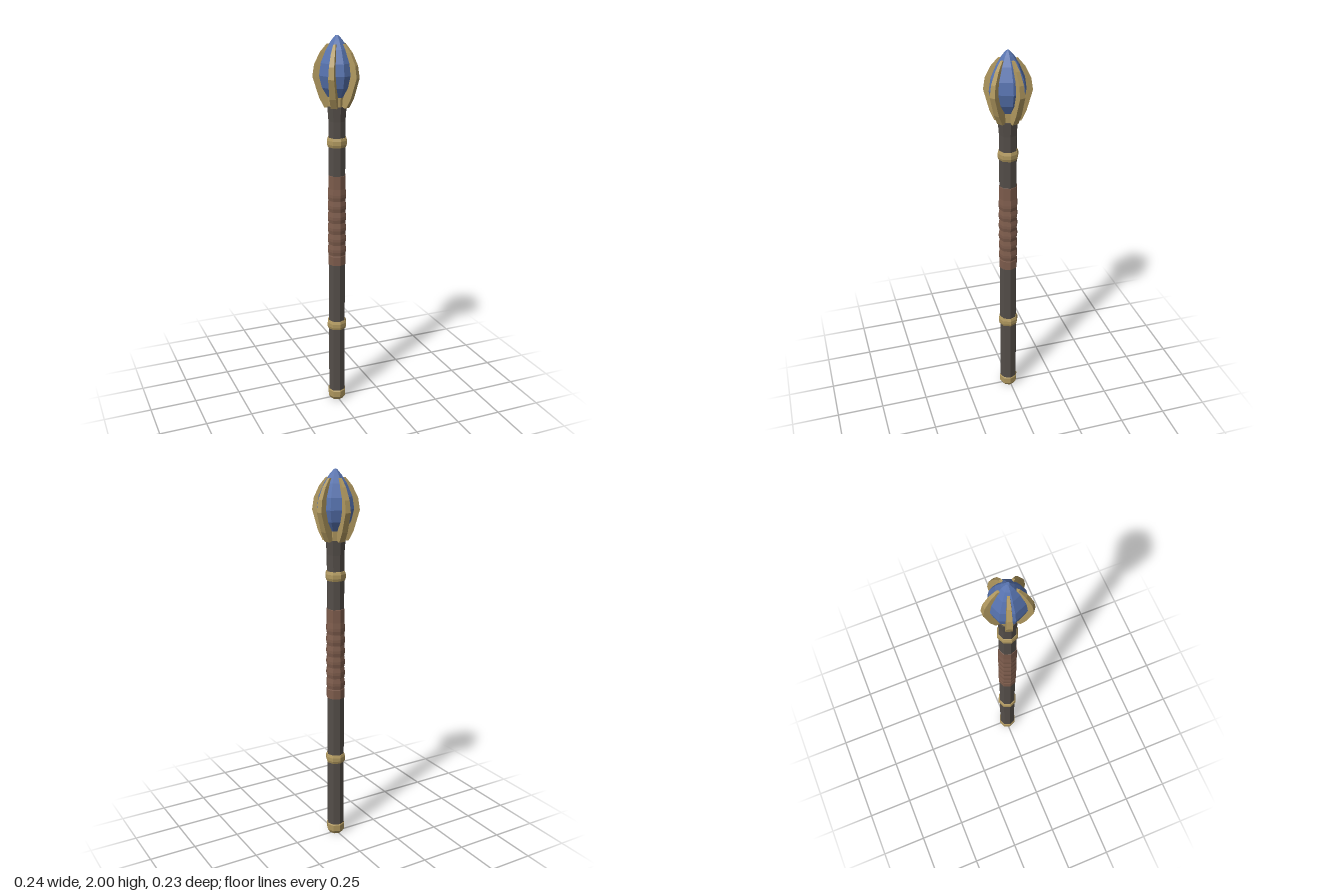
import * as THREE from 'three';

const mat = (name, color) => {
  const m = new THREE.MeshStandardMaterial({ color, flatShading: true });
  m.name = name;
  return m;
};

export function createModel() {
  const group = new THREE.Group();
  group.name = 'sceptre';
  const wood = mat('dark wood', 0x544e49);
  const leather = mat('brown leather', 0x7d5c4c);
  const gold = mat('dull gold', 0xb0985f);
  const blue = mat('blue crystal', 0x5672ae);

  const add = (name, geometry, material) => {
    const mesh = new THREE.Mesh(geometry, material);
    mesh.name = name;
    mesh.position.z = 0.007; // the prongs reach unevenly, so the axis sits slightly forward
    group.add(mesh);
    return mesh;
  };
  // eight-sided turned part, profile of [radius, y] from bottom to top
  const turned = (name, profile, material) =>
    add(name, new THREE.LatheGeometry(profile.map(([r, y]) => new THREE.Vector2(r, y)), 8), material);

  // shaft, flared under the head
  turned('shaft', [[0, 0.02], [0.046, 0.02], [0.046, 1.58], [0.052, 1.655], [0, 1.655]], wood);

  // leather grip with uneven wraps
  const grip = [[0.045, 0.81], [0.049, 0.812], [0.049, 0.86]];
  for (let i = 0; i < 6; i++) {
    const y = 0.86 + i * 0.06;
    grip.push([0.047, y + 0.005], [0.051, y + 0.025], [0.051, y + 0.04]);
  }
  grip.push([0.048, 1.23], [0.048, 1.298], [0.045, 1.3]);
  turned('grip', grip, leather);

  // gold fittings
  turned('pommel', [[0, 0], [0.036, 0], [0.049, 0.02], [0.05, 0.055], [0.045, 0.062]], gold);
  for (const [name, y] of [['lowerRing', 0.46], ['upperRing', 1.472]]) {
    turned(name, [[0.044, y - 0.025], [0.049, y - 0.024], [0.054, y - 0.01],
      [0.054, y + 0.01], [0.049, y + 0.024], [0.044, y + 0.025]], gold);
  }
  turned('headCollar', [[0, 1.65], [0.046, 1.651], [0.05, 1.71], [0, 1.71]], gold);

  // crystal
  turned('crystal', [[0, 1.695], [0.048, 1.7], [0.08, 1.75], [0.095, 1.81], [0.086, 1.87],
    [0.057, 1.935], [0.03, 1.975], [0.008, 2], [0, 2]], blue);

  // curved prongs: [y, outer radius, inner radius, half width]
  const sections = [
    [1.65, 0.064, 0.035, 0.016], [1.7, 0.09, 0.045, 0.016], [1.8, 0.121, 0.085, 0.015],
    [1.86, 0.112, 0.08, 0.013], [1.92, 0.083, 0.055, 0.01], [1.96, 0.05, 0.032, 0.006],
  ];
  const last = sections.length - 1;
  const prong = new THREE.BoxGeometry(2, 1, 1, 1, last, 1);
  const p = prong.attributes.position;
  for (let i = 0; i < p.count; i++) {
    const [y, outer, inner, half] = sections[Math.round((p.getY(i) + 0.5) * last)];
    p.setXYZ(i, p.getX(i) * half, y, p.getZ(i) > 0 ? outer : inner);
  }
  prong.computeVertexNormals();
  for (let k = 0; k < 5; k++) {
    add('prong' + (k + 1), prong, gold).rotation.y = Math.PI + (k * Math.PI * 2) / 5;
  }
  return group;
}
